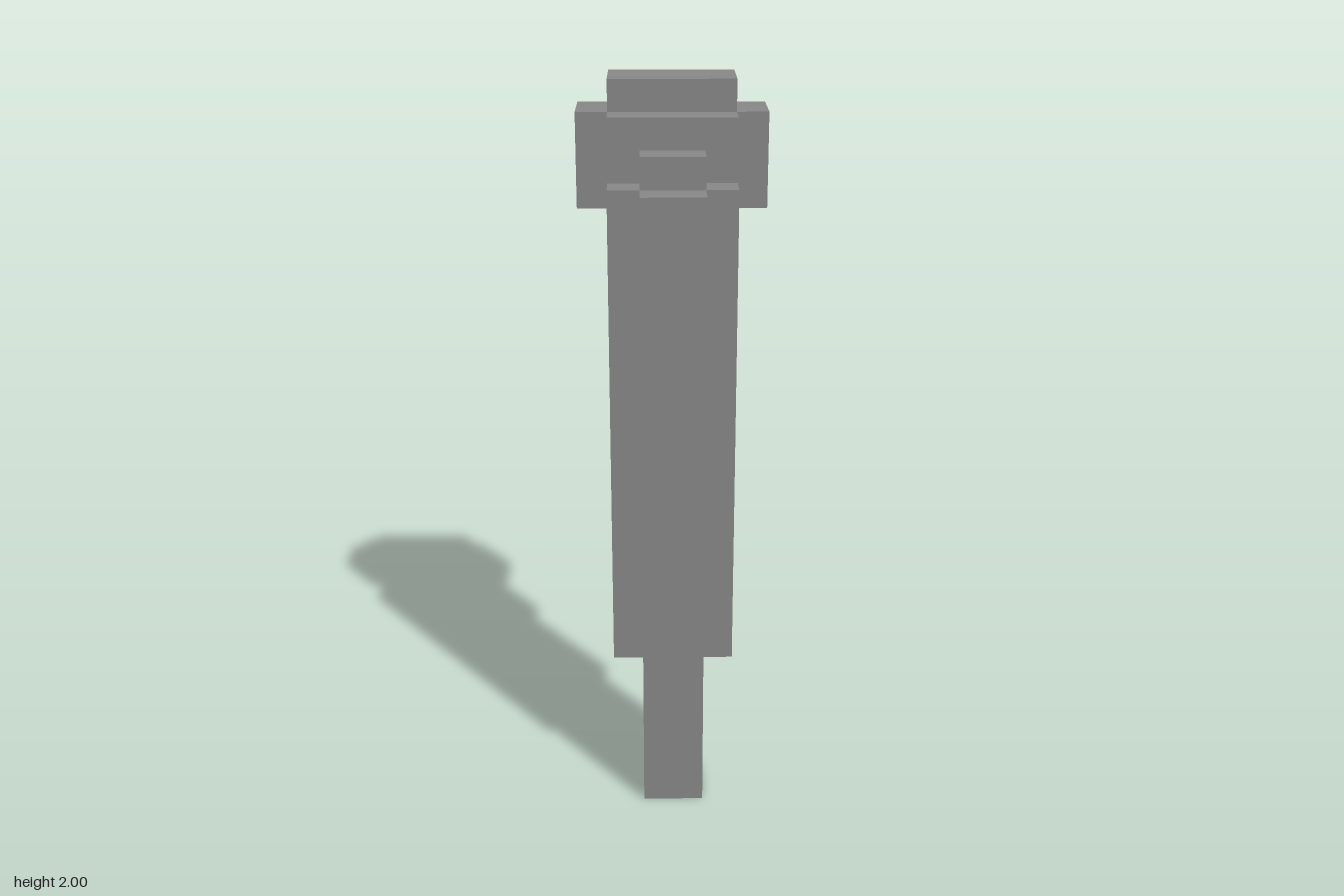
import * as THREE from 'three';

const U = 1 / 12; // block size

// Block slab between z0 and z1: symmetric stepped outline, bottom up, steps = [halfWidth, topY]
function slab(name, z0, z1, bottom, steps, material) {
  const right = [];
  let y = bottom;
  for (const [half, top] of steps) {
    right.push([half, y], [half, top]);
    y = top;
  }
  const left = right.map(([x, h]) => [-x, h]).reverse();
  const shape = new THREE.Shape([...right, ...left].map(([x, h]) => new THREE.Vector2(x * U, h * U)));
  const geometry = new THREE.ExtrudeGeometry(shape, { depth: (z1 - z0) * U, bevelEnabled: false });
  geometry.translate(0, 0, z0 * U);
  const mesh = new THREE.Mesh(geometry, material);
  mesh.name = name;
  return mesh;
}

export function createModel() {
  const grey = new THREE.MeshStandardMaterial({ color: 0x888888 });
  grey.name = 'grey';

  const model = new THREE.Group();
  model.name = 'blockPillar';
  model.add(
    // Long front rib reaching the ground
    slab('frontRib', 2, 3, 0, [[1, 21]], grey),
    // Shaft with narrow foot and small cap
    slab('frontShaft', 1, 2, 0, [[1, 5], [2, 21], [1, 22]], grey),
    slab('middleShaft', 0, 1, 4, [[1, 9], [2, 23]], grey),
    // Head with side blocks, crown and tapering underside
    slab('headFront', -1, 0, 11, [[1, 15], [2, 20], [3, 23], [2, 24]], grey),
    slab('headRear', -2, -1, 18, [[1, 19], [2, 20], [3, 23], [2, 24]], grey),
    // Plate on the back of the head
    slab('backPlate', -3, -2, 20, [[2, 23]], grey),
  );
  return model;
}
